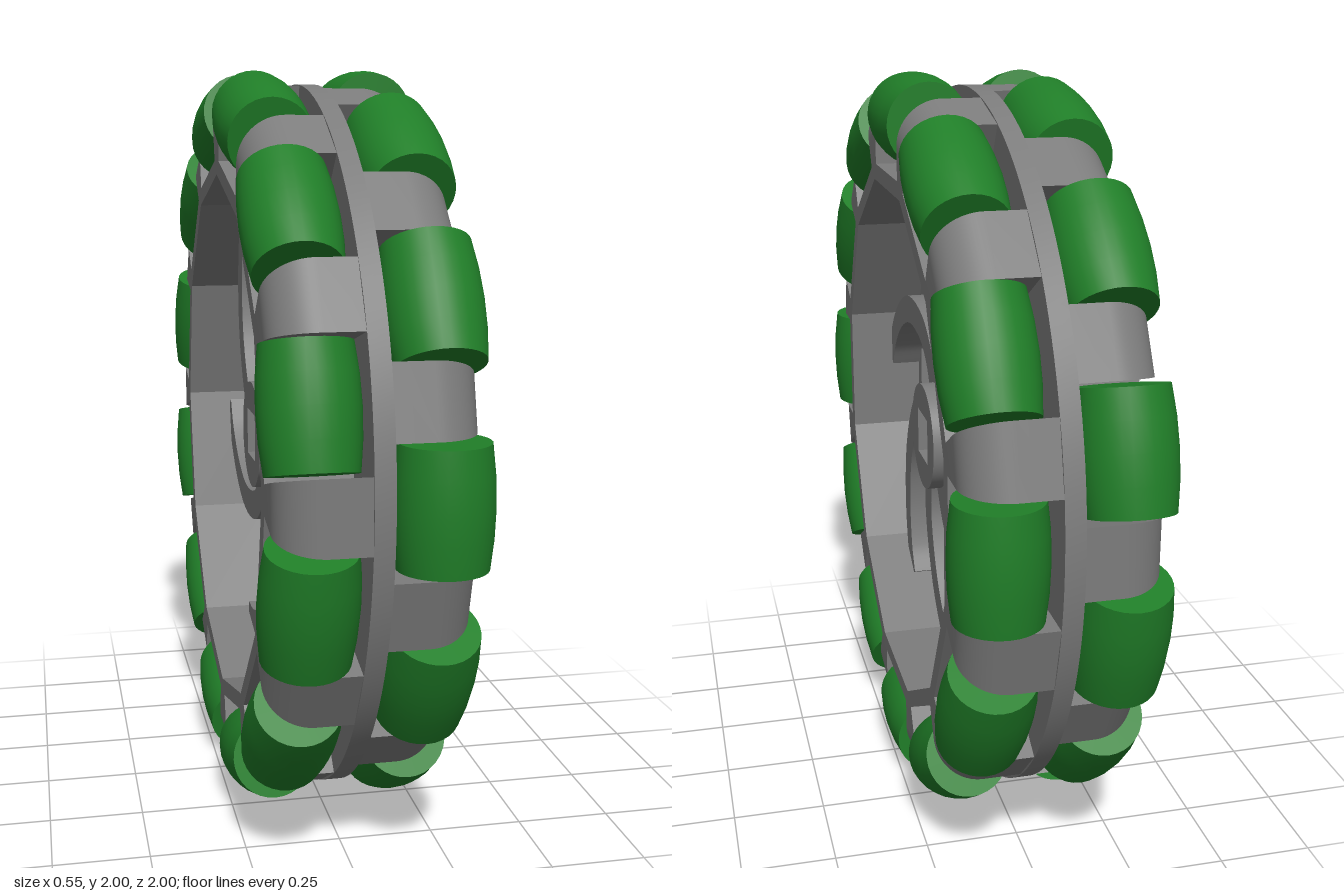
import * as THREE from 'three';
import { toCreasedNormals } from 'three/addons/utils/BufferGeometryUtils.js';

const N = 12, STEP = Math.PI / 6, HALF = STEP / 2;
const grey = new THREE.MeshStandardMaterial({ color: 0x7c7c7c });
const green = new THREE.MeshStandardMaterial({ color: 0x207e28 });

function add(parent, name, geometry, material = grey) {
  const mesh = new THREE.Mesh(geometry, material);
  mesh.name = name;
  parent.add(mesh);
  return mesh;
}

// Flat shape thickened from z0 to z1 along the axle
function slab(shape, z0, z1, curveSegments = 24) {
  const g = new THREE.ExtrudeGeometry(shape, { depth: z1 - z0, bevelEnabled: false, curveSegments });
  return toCreasedNormals(g.translate(0, 0, z0), 0.45);
}

// Twelve-sided outline with flats facing 0, 30, 60... degrees
function dodecagon(apothem) {
  const r = apothem / Math.cos(HALF), pts = [];
  for (let i = 0; i < N; i++) {
    const a = HALF + i * STEP;
    pts.push(new THREE.Vector2(r * Math.cos(a), r * Math.sin(a)));
  }
  return pts;
}

// Barrel roller whose crown follows the wheel's outer circle
function rollerGeometry() {
  const pts = [new THREE.Vector2(0, -0.148)];
  for (let i = 0; i <= 4; i++) {
    const t = -0.148 + 0.074 * i;
    pts.push(new THREE.Vector2(Math.sqrt(1 - t * t) - 0.88, t));
  }
  pts.push(new THREE.Vector2(0, 0.148));
  return toCreasedNormals(new THREE.LatheGeometry(pts, 32).rotateZ(Math.PI / 2), 0.6);
}

// Wedge between two roller pockets, with a rounded outer shoulder
function blockGeometry() {
  const s = new THREE.Shape();
  s.moveTo(0, 0.72);
  s.lineTo(0.24, 0.72);
  s.lineTo(0.24, 0.83);
  s.absarc(0.122, 0.83, 0.118, 0, Math.PI / 2, false);
  s.lineTo(0, 0.948);
  const g = new THREE.ExtrudeGeometry(s, { depth: 1, bevelEnabled: false, curveSegments: 8 });
  const p = g.attributes.position, h = 0.16;
  for (let i = 0; i < p.count; i++) {
    const z = p.getX(i), v = p.getY(i), side = 1 - 2 * p.getZ(i);
    p.setXYZ(i, side * (v * Math.sin(HALF) - h * Math.cos(HALF)), v * Math.cos(HALF) + h * Math.sin(HALF), z);
  }
  return toCreasedNormals(g, 0.5);
}

// Curved, slightly tapering spoke outline
function spokeShape() {
  const curve = new THREE.CatmullRomCurve3([
    [-0.125, 0.03], [-0.22, 0.015], [-0.32, -0.04], [-0.43, -0.2], [-0.46, -0.37], [-0.435, -0.52], [-0.39, -0.6],
  ].map(([x, y]) => new THREE.Vector3(x, y, 0)));
  const left = [], right = [];
  for (let i = 0; i <= 24; i++) {
    const t = i / 24, c = curve.getPoint(t), d = curve.getTangent(t), w = 0.047 - 0.012 * t;
    left.push(new THREE.Vector2(c.x - d.y * w, c.y + d.x * w));
    right.unshift(new THREE.Vector2(c.x + d.y * w, c.y - d.x * w));
  }
  return new THREE.Shape([...left, ...right]);
}

// Thin fill where a spoke runs into the rim, with a rounded notch
function gussetShape() {
  const s = new THREE.Shape();
  s.moveTo(-0.6, -0.29);
  s.quadraticCurveTo(-0.575, -0.33, -0.54, -0.335);
  s.quadraticCurveTo(-0.5, -0.335, -0.475, -0.29);
  s.lineTo(-0.46, -0.4);
  s.lineTo(-0.42, -0.58);
  s.lineTo(-0.5, -0.52);
  s.lineTo(-0.6, -0.36);
  return s;
}

// One row of rollers with its rim
function rollerRow(name, roller, block, rim) {
  const row = new THREE.Group();
  row.name = name;
  add(row, 'rim', rim);
  for (let i = 0; i < N; i++) {
    const pocket = new THREE.Group();
    pocket.name = 'rollerPocket';
    pocket.rotation.z = i * STEP;
    add(pocket, 'roller', roller, green).position.set(0, 0.88, 0.153);
    add(pocket, 'rollerMount', block).rotation.z = HALF;
    row.add(pocket);
  }
  return row;
}

export function createModel() {
  const model = new THREE.Group();
  model.name = 'omniWheel';
  const wheel = new THREE.Group();
  wheel.name = 'wheel';
  wheel.rotation.y = Math.PI / 2;
  wheel.position.y = 1;
  model.add(wheel);

  // Two roller rows, the second staggered by half a pitch
  const rimShape = new THREE.Shape(dodecagon(0.745));
  rimShape.holes.push(new THREE.Path(dodecagon(0.7)));
  const rim = slab(rimShape, 0, 0.24), roller = rollerGeometry(), block = blockGeometry();
  const leftRow = rollerRow('leftRollerRow', roller, block, rim);
  const rightRow = rollerRow('rightRollerRow', roller, block, rim);
  rightRow.rotation.set(0, Math.PI, HALF);
  wheel.add(leftRow, rightRow);

  // Central disc between the rows
  const disc = new THREE.Shape().absarc(0, 0, 0.963, 0, Math.PI * 2);
  disc.holes.push(new THREE.Path(dodecagon(0.655)));
  add(wheel, 'centreDisc', slab(disc, -0.028, 0.022, 64));

  // Hub with square bore
  const hub = new THREE.Shape().absarc(0, 0, 0.15, 0, Math.PI * 2);
  const b = 0.065;
  hub.holes.push(new THREE.Path([[-b, -b], [-b, b], [b, b], [b, -b]].map(([x, y]) => new THREE.Vector2(x, y))));
  add(wheel, 'hub', slab(hub, -0.15, 0.15, 40));

  // Six swept spokes
  const spoke = slab(spokeShape(), -0.11, 0.11);
  const gusset = slab(gussetShape(), -0.027, 0.021, 8);
  for (let i = 0; i < 6; i++) {
    add(wheel, 'spoke', spoke).rotation.z = i * Math.PI / 3;
    add(wheel, 'spokeGusset', gusset).rotation.z = i * Math.PI / 3;
  }
  return model;
}
